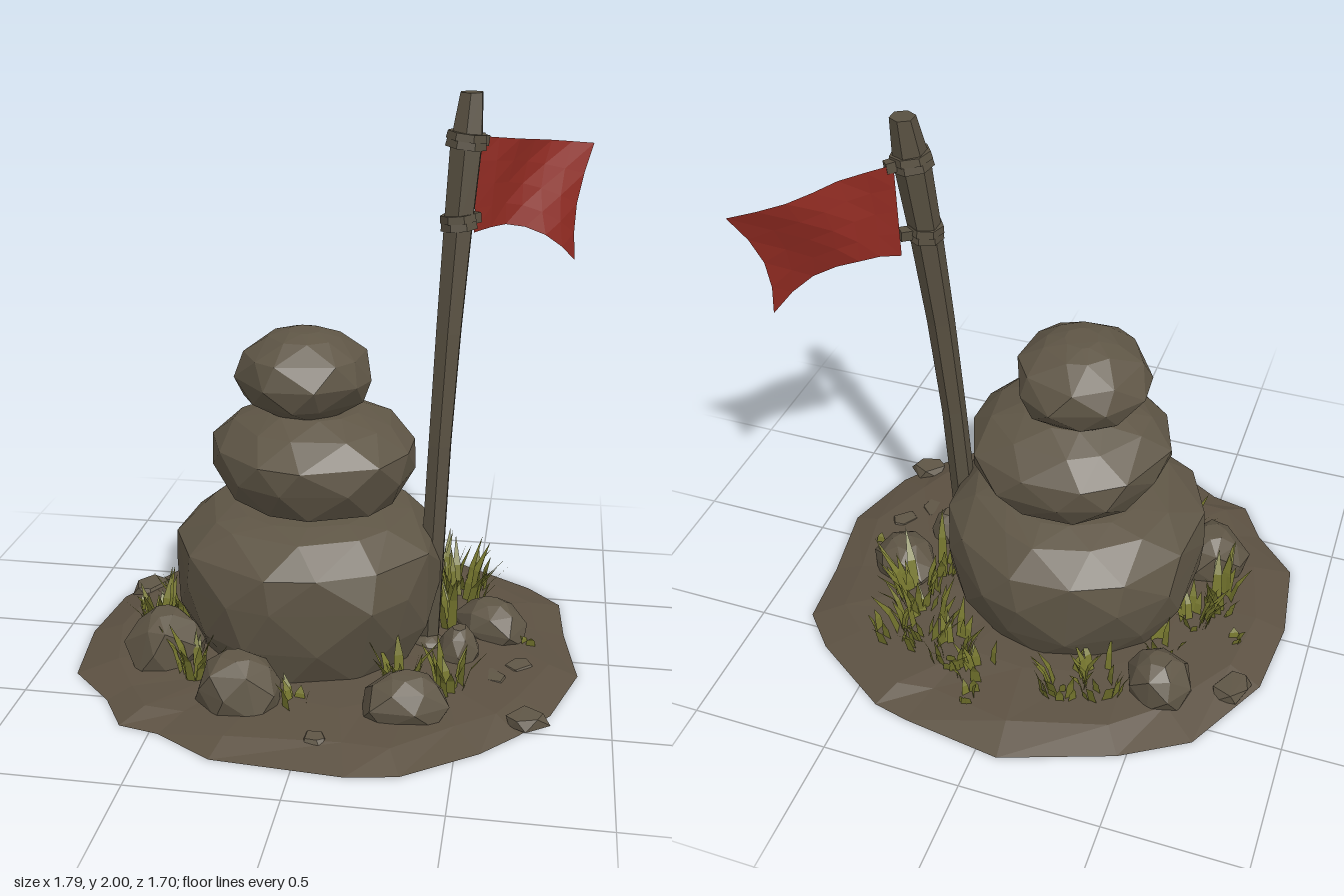
import * as THREE from 'three';
import { ConvexGeometry } from 'three/addons/geometries/ConvexGeometry.js';

function seeded(seed) {
  let s = seed * 7919 + 13;
  return () => {
    s = (s * 16807) % 2147483647;
    return s / 2147483647;
  };
}

function material(name, color, options = {}) {
  const m = new THREE.MeshStandardMaterial({ color, flatShading: true, ...options });
  m.name = name;
  return m;
}

export function createModel() {
  const model = new THREE.Group();
  model.name = 'stoneCairn';
  const stone = material('stone', 0x5f5646);
  const earth = material('earth', 0x5c5142);
  const wood = material('wood', 0x585041);
  const cloth = material('redCloth', 0x8f2a21, { side: THREE.DoubleSide });
  const grass = material('grass', 0x75762e, { side: THREE.DoubleSide });

  function add(name, geometry, mat, parent = model) {
    const mesh = new THREE.Mesh(geometry, mat);
    mesh.name = name;
    parent.add(mesh);
    return mesh;
  }

  // Faceted boulder: convex hull of jittered rings, each [y, radius]
  function boulder(name, [cx, cz], rings, sides, jitter, seed, stretch = 1, turn = 0) {
    const rand = seeded(seed);
    const points = [];
    rings.forEach(([y, r], k) => {
      for (let i = 0; i < sides; i++) {
        const a = ((i + (k % 2) / 2 + (rand() - 0.5) * 0.5) / sides) * Math.PI * 2;
        const rr = r * (1 + (rand() - 0.5) * jitter);
        points.push(new THREE.Vector3(Math.cos(a) * rr * stretch,
          y + (rand() - 0.5) * jitter * r * 0.35, Math.sin(a) * rr));
      }
    });
    const mesh = add(name, new ConvexGeometry(points), stone);
    mesh.position.set(cx, 0, cz);
    mesh.rotation.y = turn;
  }

  // Ground: irregular disc with a shallow raised top and flat underside
  const outline = [
    [-0.08, -0.85], [0.28, -0.8], [0.41, -0.77], [0.7, -0.58], [0.82, -0.45], [0.84, -0.2],
    [0.89, 0.1], [0.8, 0.38], [0.7, 0.52], [0.58, 0.65], [0.34, 0.82], [0.17, 0.85],
    [-0.27, 0.82], [-0.47, 0.7], [-0.61, 0.67], [-0.7, 0.52], [-0.86, 0.36], [-0.9, 0.05],
    [-0.87, -0.25], [-0.7, -0.57], [-0.47, -0.71],
  ];
  const n = outline.length;
  const groundRand = seeded(5);
  const pos = [];
  const idx = [];
  [[1, 0], [0.86, 0.035], [0.6, 0.055]].forEach(([scale, y], k) => outline.forEach(([x, z]) => {
    const s = scale + (k ? (groundRand() - 0.5) * 0.07 : 0);
    pos.push(x * s, y + (k ? (groundRand() - 0.5) * 0.012 : 0), z * s);
  }));
  pos.push(0, 0.06, 0, 0, 0, 0);
  for (let i = 0; i < n; i++) {
    const j = (i + 1) % n;
    for (let k = 0; k < 2; k++) {
      const a = k * n + i, b = k * n + j;
      idx.push(a, a + n, b, b, a + n, b + n);
    }
    idx.push(2 * n + i, 3 * n, 2 * n + j, i, j, 3 * n + 1);
  }
  const ground = new THREE.BufferGeometry();
  ground.setAttribute('position', new THREE.Float32BufferAttribute(pos, 3));
  ground.setIndex(idx);
  const groundFlat = ground.toNonIndexed();
  groundFlat.computeVertexNormals();
  add('ground', groundFlat, earth);

  // Three stacked stones
  boulder('bottomStone', [-0.085, 0], [[0.03, 0.39], [0.18, 0.46], [0.34, 0.49], [0.46, 0.465],
    [0.55, 0.37], [0.575, 0.27]], 12, 0.06, 3);
  boulder('middleStone', [-0.065, 0], [[0.58, 0.22], [0.61, 0.29], [0.71, 0.355], [0.8, 0.355],
    [0.88, 0.27], [0.925, 0.17]], 11, 0.07, 8, 1.02);
  boulder('topStone', [-0.1, 0], [[0.92, 0.15], [0.96, 0.21], [1.04, 0.25], [1.12, 0.22],
    [1.18, 0.13], [1.2, 0.06]], 9, 0.07, 12);

  // Small rocks around the base: x, z, radius, height, stretch, turn
  [
    [-0.53, -0.4, 0.12, 0.19, 1, 0.4], [-0.56, 0.26, 0.13, 0.22, 1.05, 1],
    [-0.24, 0.52, 0.13, 0.21, 1.2, -0.1], [0.32, 0.49, 0.12, 0.17, 1.3, 0.2],
    [0.57, -0.12, 0.12, 0.16, 1.2, -0.5], [0.47, 0.1, 0.075, 0.16, 1.1, 1.2],
    [0.36, 0.02, 0.07, 0.08, 1, 0.3],
  ].forEach(([x, z, r, h, stretch, turn], i) => boulder('smallRock' + (i + 1), [x, z],
    [[0.02, r * 0.9], [h * 0.5, r], [h * 0.82, r * 0.75], [h, r * 0.35]],
    6, 0.22, 21 + i, stretch, turn));

  // Flat slivers of stone on the ground
  [[0.72, 0.46, 0.06], [-0.78, -0.3, 0.07], [0.6, 0.22, 0.05], [0.05, 0.7, 0.04], [0.68, 0.12, 0.05]]
    .forEach(([x, z, r], i) => boulder('flatChip' + (i + 1), [x, z],
      [[0.01, r], [0.045, r * 0.8]], 5, 0.3, 40 + i, 1.3, i));

  // Leaning, slightly bent pole
  const poleCentre = (y) => new THREE.Vector3(
    0.35 + 0.02 * y + 0.013 * y * y, y, -(0.005 * y + 0.032 * y * y));
  const poleLevels = [[0.02, 0.042], [0.4, 0.045], [0.8, 0.044], [1.2, 0.048],
    [1.55, 0.054], [1.84, 0.06], [2, 0.042]];
  const poleGeometry = new THREE.CylinderGeometry(1, 1, 6, 6, 6);
  const pp = poleGeometry.attributes.position;
  for (let i = 0; i < pp.count; i++) {
    const [y, r] = poleLevels[Math.round(pp.getY(i) + 3)];
    const c = poleCentre(y);
    pp.setXYZ(i, c.x + pp.getX(i) * r, y, c.z + pp.getZ(i) * r);
  }
  poleGeometry.computeVertexNormals();
  add('pole', poleGeometry, wood);

  // Lashings with a knot towards the flag
  [[1.575, 0.064, 0.1], [1.845, 0.071, -0.12]].forEach(([y, r, tilt], i) => {
    const lashing = new THREE.Group();
    lashing.name = i ? 'upperLashing' : 'lowerLashing';
    lashing.position.copy(poleCentre(y));
    lashing.rotation.z = tilt;
    for (const dy of [-0.013, 0.013]) {
      const loop = add('ropeLoop', new THREE.CylinderGeometry(r * 0.95, r, 0.026, 7), wood, lashing);
      loop.position.y = dy;
      loop.rotation.y = dy * 30;
    }
    const knot = add('knot', new THREE.BoxGeometry(0.045, 0.035, 0.035), wood, lashing);
    knot.position.set(0.045, 0, -0.05);
    knot.rotation.y = 0.75;
    model.add(lashing);
  });

  // Flag: rippled sheet between four corners with a ragged, sagging hem
  const corners = [[0.465, 1.85, -0.18], [0.85, 1.785, -0.55], [0.46, 1.52, -0.18], [0.81, 1.38, -0.43]]
    .map((c) => new THREE.Vector3(...c));
  const flagGeometry = new THREE.PlaneGeometry(1, 1, 6, 4);
  const fp = flagGeometry.attributes.position;
  for (let i = 0; i < fp.count; i++) {
    const u = fp.getX(i) + 0.5, v = 0.5 - fp.getY(i);
    const p = corners[0].clone().lerp(corners[1], u)
      .lerp(corners[2].clone().lerp(corners[3], u), v);
    const ripple = 0.018 * Math.sin(u * 7 + v * 2.5) * Math.min(1, u * 3);
    p.y += 0.07 * Math.sin(Math.PI * u) * v;
    p.x += ripple * 0.7 - 0.035 * Math.sin(Math.PI * v) * u;
    p.z += ripple * 0.7 + 0.03 * Math.sin(Math.PI * v) * u;
    fp.setXYZ(i, p.x, p.y, p.z);
  }
  flagGeometry.computeVertexNormals();
  add('flag', flagGeometry, cloth);

  // Grass tufts: x, z, blades, spread, height
  const tufts = [
    [0.22, -0.5, 22, 0.09, 0.17], [0.36, -0.43, 24, 0.1, 0.2], [0.44, -0.3, 22, 0.08, 0.24],
    [0.1, -0.56, 10, 0.08, 0.13], [-0.2, -0.51, 18, 0.08, 0.16], [-0.34, -0.47, 16, 0.08, 0.16],
    [-0.5, -0.22, 10, 0.06, 0.13], [-0.57, -0.08, 14, 0.06, 0.16], [-0.63, 0.06, 20, 0.08, 0.19],
    [-0.42, 0.38, 14, 0.06, 0.16], [0.3, 0.36, 14, 0.06, 0.18], [0.46, 0.34, 16, 0.06, 0.18],
    [-0.04, 0.53, 7, 0.04, 0.1], [0.42, -0.12, 8, 0.05, 0.24], [0.72, -0.04, 3, 0.03, 0.04],
    [-0.74, -0.1, 3, 0.02, 0.05], [0.1, -0.66, 4, 0.03, 0.08], [0.48, -0.48, 8, 0.06, 0.12],
  ];
  tufts.forEach(([x, z, blades, spread, height], t) => {
    const rand = seeded(60 + t);
    const verts = [];
    for (let b = 0; b < blades; b++) {
      const a = rand() * Math.PI * 2, d = Math.sqrt(rand()) * spread;
      const dx = Math.cos(a), dz = Math.sin(a);
      const h = height * (0.45 + rand() * 0.65), w = 0.012 + rand() * 0.01;
      const lean = h * (0.15 + rand() * 0.45);
      // Tapered blade that bends outwards: one quad and a pointed tip
      const at = (side, out, y) => [x + dx * (d + out) - dz * side, y, z + dz * (d + out) + dx * side];
      const p0 = at(-w, 0, 0.03), p1 = at(w, 0, 0.03);
      const p2 = at(-w * 0.8, lean * 0.35, 0.04 + h * 0.55), p3 = at(w * 0.8, lean * 0.35, 0.04 + h * 0.55);
      const tip = at(0, lean, 0.04 + h);
      verts.push(...p0, ...p1, ...p2, ...p1, ...p3, ...p2, ...p2, ...p3, ...tip);
    }
    const geometry = new THREE.BufferGeometry();
    geometry.setAttribute('position', new THREE.Float32BufferAttribute(verts, 3));
    geometry.computeVertexNormals();
    add('grassTuft' + (t + 1), geometry, grass);
  });

  return model;
}
